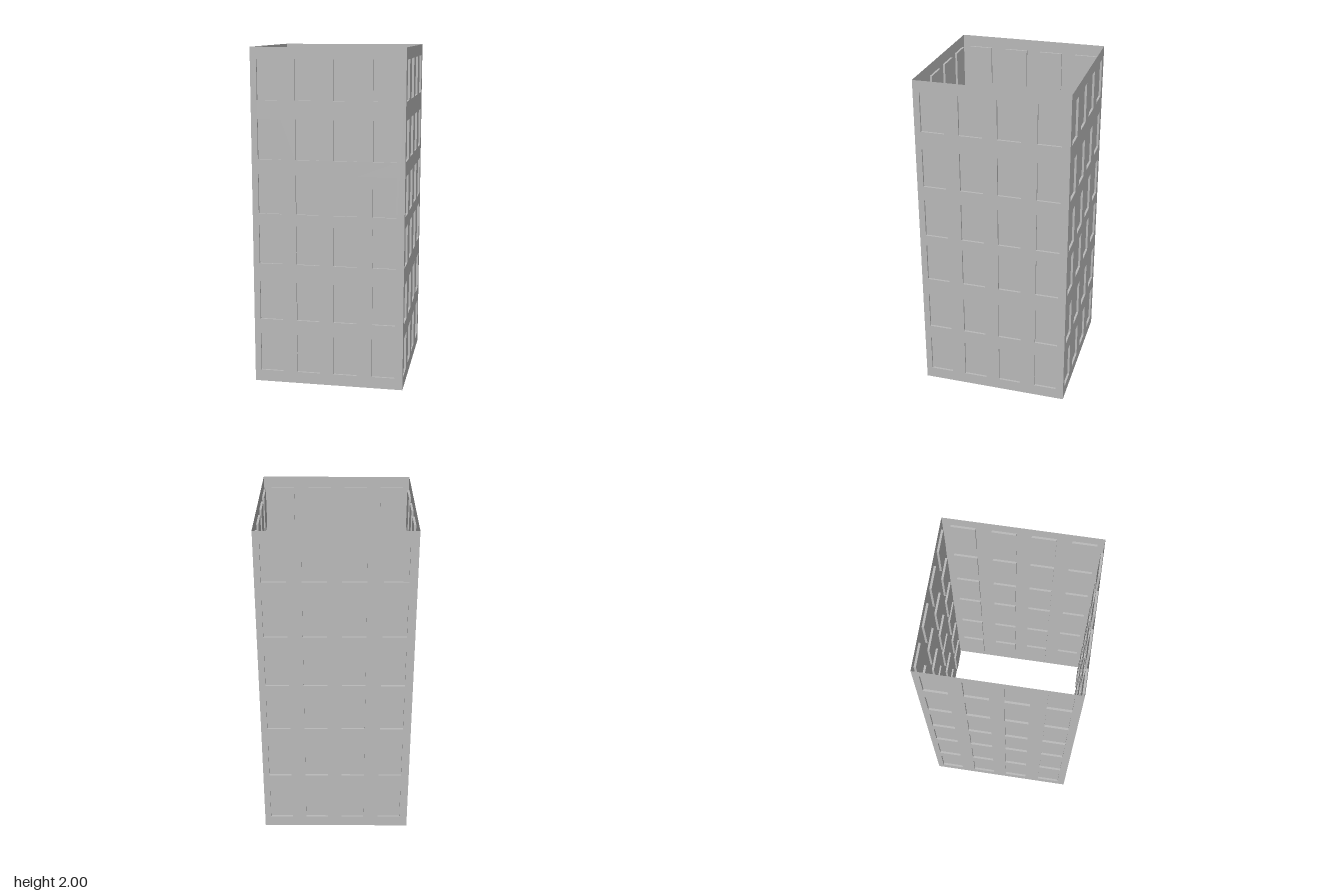
import * as THREE from 'three';

const HALF = 0.448;      // distance from the centre to each wall
const HEIGHT = 2;
const DEPTH = 0.0125;    // how far the windows are set back
const WIN_W = 0.138, WIN_H = 0.233;
const COLUMNS = [-0.411, -0.188, 0.034, 0.263];             // left edges
const ROWS = [0.07, 0.393, 0.736, 1.037, 1.358, 1.699];     // sills

const concrete = new THREE.MeshStandardMaterial({ color: 0xbababa, side: THREE.DoubleSide });
concrete.name = 'concrete grey';

function part(name, geometry) {
  const mesh = new THREE.Mesh(geometry, concrete);
  mesh.name = name;
  return mesh;
}

// Thin wall sheet with a rectangular opening for every window
function wallGeometry() {
  const shape = new THREE.Shape([
    new THREE.Vector2(-HALF, 0), new THREE.Vector2(HALF, 0),
    new THREE.Vector2(HALF, HEIGHT), new THREE.Vector2(-HALF, HEIGHT),
  ]);
  for (const y of ROWS) for (const x of COLUMNS) {
    shape.holes.push(new THREE.Path([
      new THREE.Vector2(x, y), new THREE.Vector2(x, y + WIN_H),
      new THREE.Vector2(x + WIN_W, y + WIN_H), new THREE.Vector2(x + WIN_W, y),
    ]));
  }
  return new THREE.ShapeGeometry(shape);
}

// The four sides of a box, turned to face into the opening
function revealGeometry() {
  const g = new THREE.BoxGeometry(WIN_W, WIN_H, DEPTH);
  g.setIndex(Array.from(g.index.array).slice(0, 24).reverse());
  g.clearGroups();
  g.computeVertexNormals();
  return g;
}

export function createModel() {
  const tower = new THREE.Group();
  tower.name = 'towerBlock';
  const wall = wallGeometry();
  const reveal = revealGeometry();
  const pane = new THREE.PlaneGeometry(WIN_W, WIN_H);

  // The same facade, turned a quarter for each side; open at top and bottom
  ['front', 'left', 'back', 'right'].forEach((side, i) => {
    const facade = new THREE.Group();
    facade.name = side + 'Facade';
    const sheet = part('wall', wall);
    sheet.position.z = HALF;
    facade.add(sheet);

    for (const y of ROWS) for (const x of COLUMNS) {
      const win = new THREE.Group();
      win.name = 'window';
      const frame = part('windowReveal', reveal);
      frame.position.z = -DEPTH / 2;
      const panel = part('windowPane', pane);
      panel.position.z = -DEPTH;
      win.add(frame, panel);
      win.position.set(x + WIN_W / 2, y + WIN_H / 2, HALF);
      facade.add(win);
    }
    facade.rotation.y = i * Math.PI / 2;
    tower.add(facade);
  });
  return tower;
}
